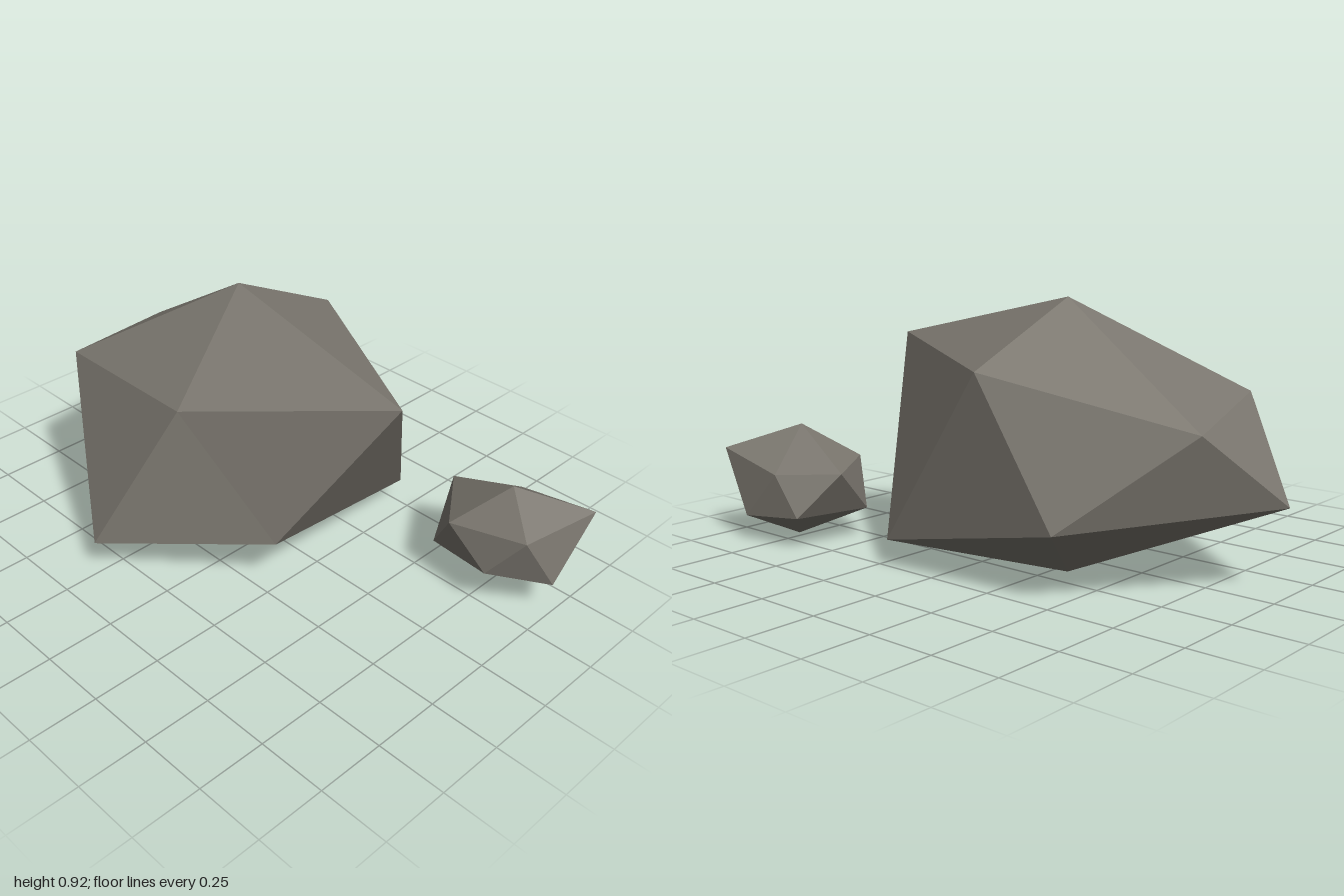
import * as THREE from 'three';

// Faceted boulder: a top point, two staggered five-point rings and a bottom point.
// Rings run counterclockwise seen from above; lower[i] sits between upper[i] and upper[i + 1].
function boulder(name, material, top, upper, lower, bottom) {
  const positions = [];
  const tri = (a, b, c) => positions.push(...a, ...b, ...c);
  for (let i = 0; i < 5; i++) {
    const j = (i + 1) % 5;
    tri(top, upper[i], upper[j]);          // crown
    tri(upper[i], lower[i], upper[j]);     // sides
    tri(upper[j], lower[i], lower[j]);
    tri(bottom, lower[j], lower[i]);       // underside
  }
  const geometry = new THREE.BufferGeometry();
  geometry.setAttribute('position', new THREE.Float32BufferAttribute(positions, 3));
  geometry.computeVertexNormals(); // unshared corners keep the facets flat
  const mesh = new THREE.Mesh(geometry, material);
  mesh.name = name;
  return mesh;
}

export function createModel() {
  const group = new THREE.Group();
  group.name = 'rocks';
  const stone = new THREE.MeshStandardMaterial({ color: 0x7a766e });
  stone.name = 'warm grey stone';

  group.add(boulder('largeRock', stone,
    [-0.24, 0.99, -0.08],
    [[0.55, 0.82, -0.06], [-0.22, 0.78, -0.52], [-0.85, 0.61, -0.2], [-0.715, 0.675, 0.31], [-0.07, 0.72, 0.36]],
    [[0.205, 0.165, -0.505], [-0.51, 0.3, -0.495], [-1, 0.36, 0.08], [-0.26, 0.195, 0.61], [0.26, 0.27, 0.22]],
    [-0.3, 0.07, -0.15]));

  group.add(boulder('smallRock', stone,
    [0.785, 0.485, -0.39],
    [[0.485, 0.345, -0.46], [0.66, 0.355, -0.215], [0.94, 0.385, -0.27], [1, 0.395, -0.58], [0.69, 0.335, -0.595]],
    [[0.55, 0.18, -0.285], [0.825, 0.23, -0.215], [1, 0.195, -0.37], [0.845, 0.165, -0.61], [0.58, 0.19, -0.59]],
    [0.755, 0.08, -0.44]));

  return group;
}
